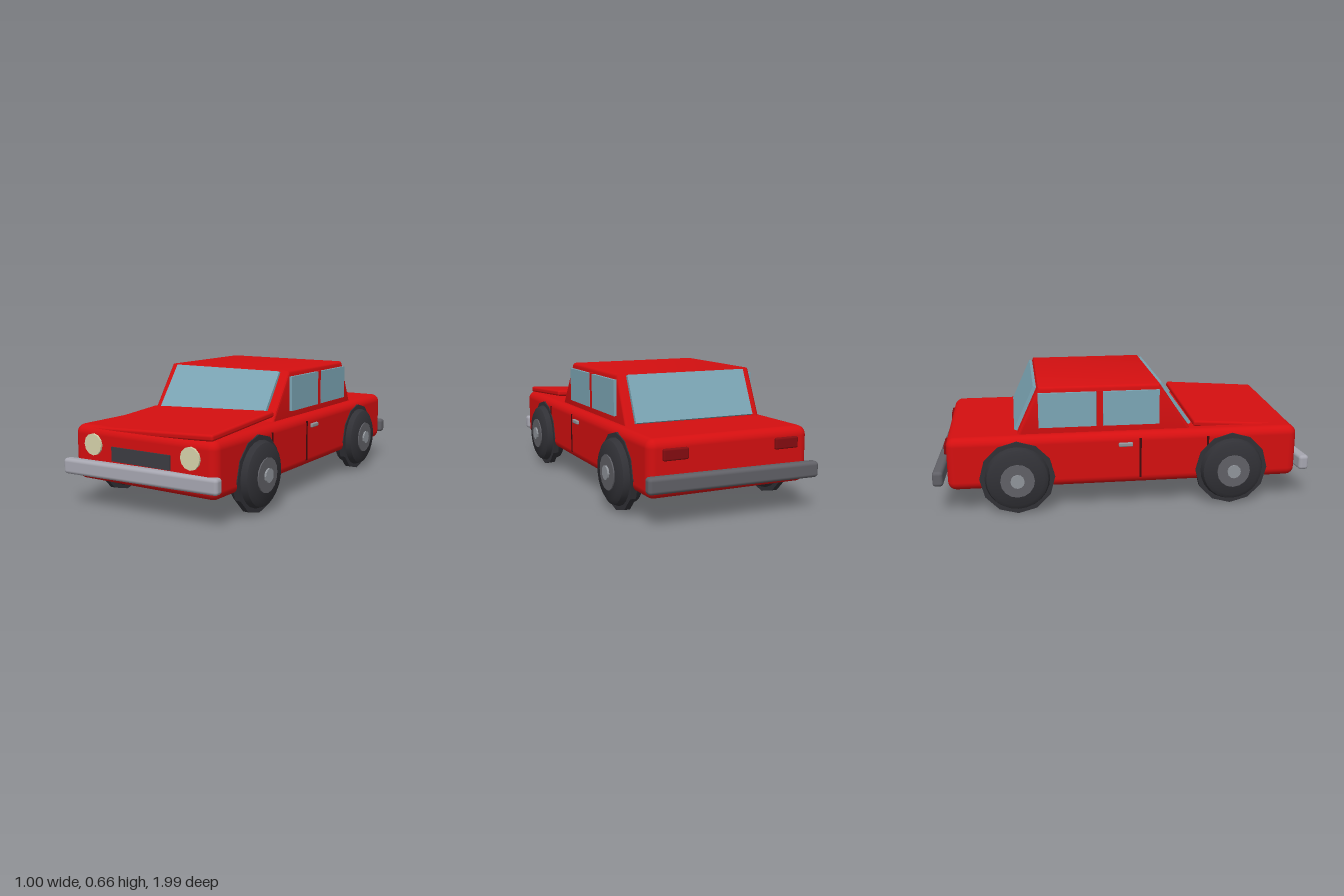
import * as THREE from 'three';
import { toCreasedNormals } from 'three/addons/utils/BufferGeometryUtils.js';
import { RoundedBoxGeometry } from 'three/addons/geometries/RoundedBoxGeometry.js';

const paint = (name, color) => {
  const m = new THREE.MeshStandardMaterial({ color });
  m.name = name;
  return m;
};

export function createModel() {
  const red = paint('red paint', 0xd40f10);
  const glass = paint('glass', 0x7ca6b5);
  const cream = paint('lamp cream', 0xd6d2aa);
  const chrome = paint('light chrome', 0xa6a6b0);
  const steel = paint('dark steel', 0x606066);
  const rubber = paint('rubber', 0x313136);
  const charcoal = paint('charcoal', 0x3c3c42);
  const tailRed = paint('tail lamp red', 0x850c10);
  const capGrey = paint('cap grey', 0x90949a);
  const seamDark = paint('seam dark', 0x420a0c);

  const car = new THREE.Group();
  car.name = 'car';

  const add = (name, geometry, material, x = 0, y = 0, z = 0, parent = car) => {
    const mesh = new THREE.Mesh(geometry, material);
    mesh.name = name;
    mesh.position.set(x, y, z);
    parent.add(mesh);
    return mesh;
  };
  const rounded = (w, h, d, r) => new RoundedBoxGeometry(w, h, d, 3, r);
  const box = (w, h, d) => new THREE.BoxGeometry(w, h, d);

  // Lower body
  add('body', rounded(0.87, 0.28, 1.85, 0.045), red, 0, 0.275, 0.002);

  // Cabin: side outline extruded across the width
  const bevel = 0.018;
  const width = 0.77;
  const outline = new THREE.Shape([
    [0.365, 0.39], [-0.57, 0.39], [-0.447, 0.66], [0.183, 0.66],
  ].map(([z, y]) => new THREE.Vector2(z, y)));
  const cabin = new THREE.ExtrudeGeometry(outline, {
    depth: width - 2 * bevel, bevelEnabled: true, bevelThickness: bevel,
    bevelSize: bevel, bevelOffset: -bevel, bevelSegments: 3,
  });
  cabin.translate(0, 0, bevel - width / 2).rotateY(-Math.PI / 2);
  add('cabin', toCreasedNormals(cabin, 0.6), red);

  // Sloping glass between a bottom and a top point of the side outline
  const slopedGlass = (name, zLow, yLow, zHigh, yHigh) => {
    const pane = add(name, box(0.67, Math.hypot(zHigh - zLow, yHigh - yLow), 0.018), glass,
      0, (yLow + yHigh) / 2, (zLow + zHigh) / 2);
    pane.rotation.x = Math.atan2(zHigh - zLow, yHigh - yLow);
  };
  slopedGlass('windshield', 0.357, 0.425, 0.194, 0.652);
  slopedGlass('rearWindow', -0.567, 0.425, -0.463, 0.652);

  // Hood, left slightly ajar
  const hood = add('hood', rounded(0.77, 0.032, 0.54, 0.012), red, 0.025, 0.427, 0.645);
  hood.rotation.set(0.07, 0, 0.046);

  // Bumpers, both knocked slightly askew
  const frontBumper = add('frontBumper', rounded(0.9, 0.08, 0.055, 0.018), chrome, 0, 0.21, 0.943);
  frontBumper.rotation.y = 0.06;
  const rearBumper = add('rearBumper', rounded(0.9, 0.08, 0.055, 0.018), steel, 0, 0.21, -0.953);
  rearBumper.rotation.y = -0.04;

  add('grille', box(0.36, 0.072, 0.02), charcoal, 0, 0.29, 0.924);

  // Wheel geometry, with the axle along x and the outside at +x
  const tyreProfile = [
    [0, -0.07], [0.13, -0.07], [0.157, -0.055], [0.168, -0.02],
    [0.168, 0.025], [0.158, 0.05], [0.135, 0.064], [0, 0.064],
  ].map(([r, x]) => new THREE.Vector2(r, x));
  const tyre = toCreasedNormals(
    new THREE.LatheGeometry(tyreProfile, 24).rotateZ(-Math.PI / 2), 0.6);
  const disc = (r, w, sides) => toCreasedNormals(
    new THREE.CylinderGeometry(r, r, w, sides).rotateZ(-Math.PI / 2), 0.4);
  const archDisc = disc(0.195, 0.03, 12);
  const hub = disc(0.088, 0.02, 16);
  const cap = disc(0.036, 0.03, 12);
  const lamp = new THREE.CylinderGeometry(0.055, 0.055, 0.03, 12).rotateX(Math.PI / 2);

  for (const side of [1, -1]) {
    const label = side > 0 ? 'left' : 'right';

    // Lamps
    add(label + 'Headlight', lamp, cream, side * 0.298, 0.325, 0.923);
    add(label + 'TailLight', rounded(0.13, 0.056, 0.03, 0.008), tailRed, side * 0.3, 0.342, -0.922);

    // Side windows
    add(label + 'FrontSideWindow', box(0.02, 0.182, 0.295), glass, side * 0.39, 0.54, 0.032);
    add(label + 'RearSideWindow', box(0.02, 0.182, 0.3), glass, side * 0.39, 0.54, -0.3);
    add(label + 'DoorPillar', box(0.02, 0.19, 0.03), red, side * 0.389, 0.54, -0.133);

    // Door seams and handle
    add(label + 'DoorSeam', box(0.008, 0.215, 0.011), seamDark, side * 0.4335, 0.278, 0.076);
    add(label + 'FenderSeam', box(0.008, 0.2, 0.011), seamDark, side * 0.4335, 0.28, 0.436);
    add(label + 'DoorHandle', rounded(0.022, 0.022, 0.075, 0.006), capGrey, side * 0.436, 0.354, -0.002);

    // Wheels
    for (const end of [1, -1]) {
      const wheel = new THREE.Group();
      wheel.name = label + (end > 0 ? 'FrontWheel' : 'RearWheel');
      wheel.position.set(side * 0.42, 0.197, end * 0.567);
      if (side < 0) wheel.rotation.y = Math.PI;
      add('tyre', tyre, rubber, 0, 0, 0, wheel);
      add('archDisc', archDisc, rubber, 0.005, 0, 0, wheel);
      add('hub', hub, steel, 0.06, 0, 0, wheel);
      add('hubCap', cap, capGrey, 0.065, 0, 0, wheel);
      car.add(wheel);
    }
  }
  return car;
}
